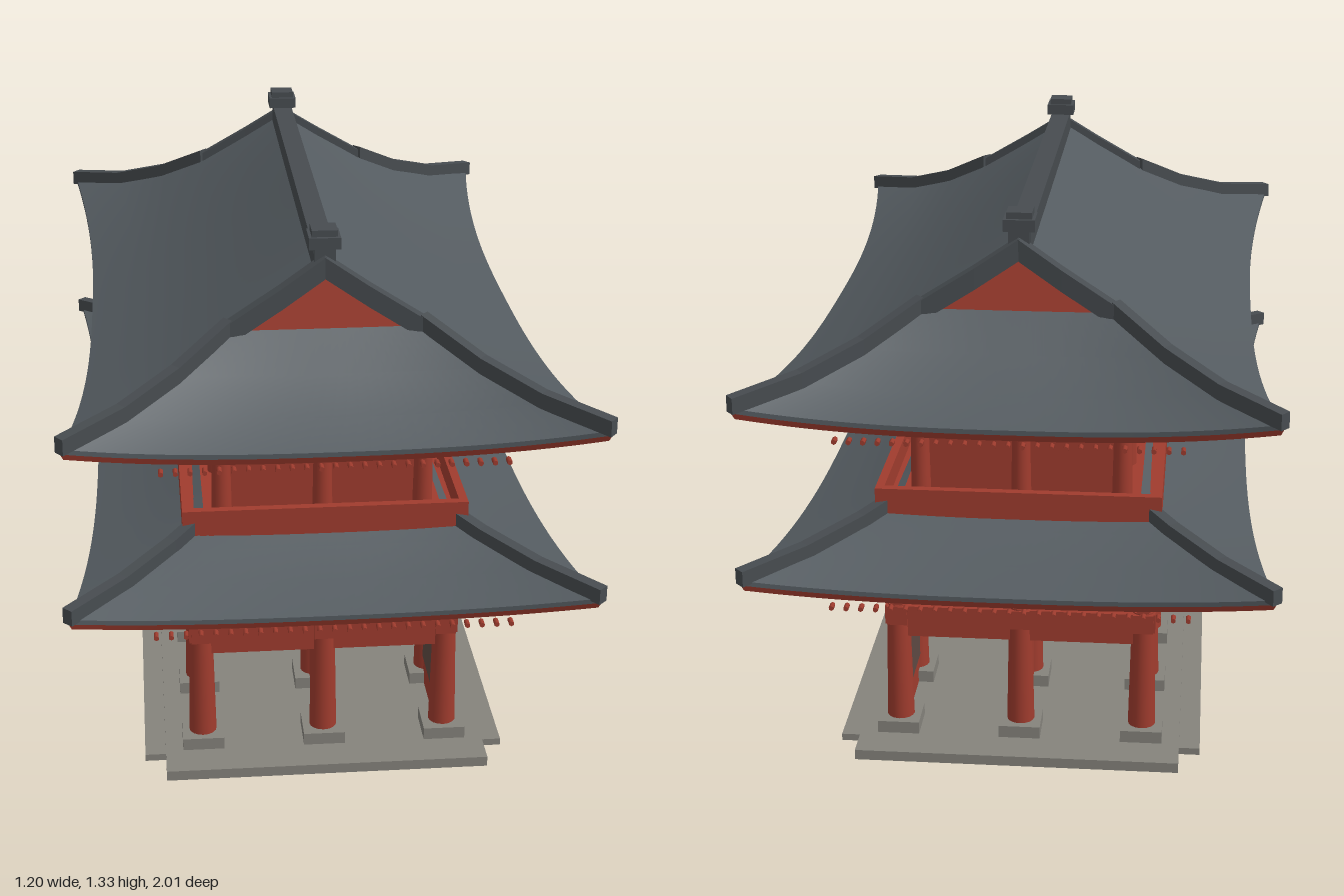
import * as THREE from 'three';
import { mergeGeometries } from 'three/addons/utils/BufferGeometryUtils.js';

const mat = (name, color, side = THREE.FrontSide) => {
  const m = new THREE.MeshStandardMaterial({ color, side });
  m.name = name;
  return m;
};

export function createModel() {
  const model = new THREE.Group();
  model.name = 'gatehouse';
  const D = THREE.DoubleSide;
  const tile = mat('roof tile grey', 0x545b60, D);
  const ridgeGrey = mat('ridge grey', 0x474c50, D);
  const red = mat('painted red', 0xa03c2e, D);
  const brown = mat('plaster brown', 0x5e4a43);
  const stone = mat('stone', 0x85837c);
  const dark = mat('eave shadow brown', 0x3a2c28, D);

  const add = (name, geo, material, parent = model) => {
    const mesh = new THREE.Mesh(geo, material);
    mesh.name = name;
    parent.add(mesh);
    return mesh;
  };
  // Box given by its x, y and z ranges
  const box = (x0, x1, y0, y1, z0, z1) =>
    new THREE.BoxGeometry(x1 - x0, y1 - y0, z1 - z0).translate((x0 + x1) / 2, (y0 + y1) / 2, (z0 + z1) / 2);
  const post = (x, z, y0, y1, r0, r1) =>
    new THREE.CylinderGeometry(r1, r0, y1 - y0, 16).translate(x, (y0 + y1) / 2, z);

  // Curved roof sheet. Each row: m = [out, y] at mid-span, c = [out, y, half length] at the corner
  function sheet(rows, alongZ) {
    const n = 32, pos = [], idx = [];
    rows.forEach(({ m, c }, r) => {
      for (let i = 0; i <= n; i++) {
        const u = (i / n) * 2 - 1, k = Math.pow(Math.abs(u), 2.6);
        const out = m[0] + (c[0] - m[0]) * k, y = m[1] + (c[1] - m[1]) * k, l = u * c[2];
        pos.push(...(alongZ ? [out, y, l] : [l, y, out]));
        if (r && i) {
          const a = (r - 1) * (n + 1) + i - 1, b = a + n + 1;
          idx.push(...(alongZ ? [a, a + 1, b, a + 1, b + 1, b] : [a, b, a + 1, a + 1, b, b + 1]));
        }
      }
    });
    const g = new THREE.BufferGeometry();
    g.setAttribute('position', new THREE.Float32BufferAttribute(pos, 3));
    g.setIndex(idx);
    g.computeVertexNormals();
    return g;
  }

  // Square-section ridge swept along points, kept upright
  function ridgeBar(pts, w, below, above) {
    const pos = [], idx = [];
    const a = pts[0], e = pts[pts.length - 1];
    const side = new THREE.Vector3(e[2] - a[2], 0, a[0] - e[0]).normalize().multiplyScalar(w / 2);
    pts.forEach(([x, y, z], i) => {
      for (const [s, h] of [[-1, -below], [1, -below], [1, above], [-1, above]])
        pos.push(x + s * side.x, y + h, z + s * side.z);
      if (i) for (let k = 0; k < 4; k++) {
        const p = (i - 1) * 4 + k, q = (i - 1) * 4 + (k + 1) % 4;
        idx.push(p, q, p + 4, q, q + 4, p + 4);
      }
    });
    const l = pos.length / 3 - 4;
    idx.push(0, 2, 1, 0, 3, 2, l, l + 1, l + 2, l, l + 2, l + 3);
    const g = new THREE.BufferGeometry();
    g.setAttribute('position', new THREE.Float32BufferAttribute(pos, 3));
    g.setIndex(idx);
    const flat = g.toNonIndexed();
    flat.computeVertexNormals();
    return flat;
  }

  // Roof from hip points [x, y, z] and mid-span profiles; ends start at row endFrom
  function roof(name, hip, sideMid, endMid, endFrom, inner) {
    const group = new THREE.Group();
    group.name = name;
    model.add(group);
    const sideRows = hip.map((h, i) => ({ m: sideMid[i], c: [h[0], h[1], h[2]] }));
    const endRows = hip.slice(endFrom).map((h, i) => ({ m: endMid[i], c: [h[2], h[1], h[0]] }));
    for (const turn of [0, Math.PI]) for (const alongZ of [true, false]) {
      const rows = alongZ ? sideRows : endRows;
      const edge = rows[rows.length - 1];
      const drop = (d, inset) => ({
        m: [edge.m[0] - inset, edge.m[1] - d],
        c: [edge.c[0] - inset, edge.c[1] - d, edge.c[2] - inset],
      });
      const [ix, iy, iz] = inner;
      const core = alongZ ? { m: [ix, iy], c: [ix, iy, iz] } : { m: [iz, iy], c: [iz, iy, ix] };
      const part = (label, r, material) => { add(label, sheet(r, alongZ), material, group).rotation.y = turn; };
      part('roofSlope', rows, tile);
      part('tileEdge', [edge, drop(0.011, 0)], tile);
      part('eaveBoard', [drop(0.011, 0), drop(0.026, 0.006)], red);
      part('eaveUnderside', [drop(0.026, 0.006), core], dark);
    }
    for (const sx of [-1, 1]) for (const sz of [-1, 1]) {
      const pts = hip.map(([x, y, z]) => [x * sx, y, z * sz]);
      if (endFrom) add('vergeRidge', ridgeBar(pts.slice(0, endFrom + 1), 0.03, 0.03, 0.02), ridgeGrey, group);
      const [x, y, z] = pts[pts.length - 1];
      pts[pts.length - 1] = [x + 0.002 * sx, y, z + 0.002 * sz];
      add('hipRidge', ridgeBar(pts.slice(endFrom), 0.028, 0.01, 0.027), ridgeGrey, group);
    }
    return group;
  }

  // Three stacked round arms stepping outward, pointing along +x before turning
  function bracket(y0, h) {
    const reach = [0.025, 0.073, 0.12], wide = [0.024, 0.029, 0.035];
    return mergeGeometries(reach.map((r, i) =>
      new THREE.CylinderGeometry(1, 1, r + 0.03, 12).rotateZ(Math.PI / 2)
        .scale(1, h / 6, wide[i]).translate((r - 0.03) / 2, y0 + (i + 0.5) * h / 3, 0)));
  }

  function bracketRows(name, y0, h, bx, xs, zs, bz) {
    const list = [];
    for (const s of [-1, 1]) {
      for (const z of zs) list.push(bracket(y0, h).rotateY(s > 0 ? 0 : Math.PI).translate(s * bx, 0, z));
      for (const x of xs) list.push(bracket(y0, h).rotateY(-s * Math.PI / 2).translate(x, 0, s * bz));
    }
    add(name, mergeGeometries(list), red);
  }

  // Round rafter tips in a line below each eave
  function rafterTips(name, y, lx, lz) {
    const list = [];
    const tip = () => new THREE.CylinderGeometry(0.006, 0.006, 0.022, 6);
    for (const s of [-1, 1]) {
      for (let i = -26; i <= 26; i++) list.push(tip().rotateZ(Math.PI / 2).translate(s * 0.523, y, i * lz / 26));
      for (let i = -12; i <= 12; i++) list.push(tip().rotateX(Math.PI / 2).translate(i * lx / 12, y, s * 0.925));
    }
    add(name, mergeGeometries(list), red);
  }

  const spread = (half, n) => Array.from({ length: n }, (_, i) => -half + (2 * half * i) / (n - 1));

  // Stone platform
  add('lowerStep', box(-0.435, 0.435, 0, 0.017, -0.69, 0.69), stone);
  add('platform', box(-0.385, 0.385, 0.01, 0.035, -0.795, 0.795), stone);

  // Ground storey: columns on plinths, tie beams
  const colZ = spread(0.655, 6);
  for (const x of [-0.293, 0, 0.293]) {
    for (const z of colZ) {
      add('plinth', box(x - 0.05, x + 0.05, 0.035, 0.065, z - 0.05, z + 0.05), stone);
      add('column', post(x, z, 0.065, 0.365, 0.033, 0.027), red);
    }
    add('longBeam', box(x - 0.024, x + 0.024, 0.315, 0.362, -0.685, 0.685), red);
    // Closed end bays
    for (const s of [-1, 1]) {
      const z = s * 0.525;
      add('bayWall', box(x - 0.012, x + 0.012, 0.035, 0.32, z - 0.13, z + 0.13), red);
      if (x) add('bayPanel', box(x - 0.015, x + 0.015, 0.105, 0.275, z - 0.098, z + 0.098), brown);
    }
  }
  for (const z of colZ) {
    add('crossBeam', box(-0.322, 0.322, 0.315, 0.362, z - 0.024, z + 0.024), red);
    add('lowerCrossBeam', box(-0.29, 0.29, 0.28, 0.317, z - 0.015, z + 0.015), red);
  }
  add('lowerFrieze', box(-0.275, 0.275, 0.36, 0.5, -0.637, 0.637), brown);
  bracketRows('lowerBrackets', 0.363, 0.125, 0.293, [-0.293, 0, 0.293], spread(0.655, 11), 0.655);
  rafterTips('lowerRafterTips', 0.477, 0.4, 0.8);

  roof('lowerRoof',
    [[0.28, 0.635, 0.67], [0.36, 0.603, 0.75], [0.47, 0.575, 0.865], [0.59, 0.563, 0.99]],
    [[0.28, 0.635], [0.35, 0.594], [0.44, 0.55], [0.535, 0.516]],
    [[0.67, 0.635], [0.745, 0.594], [0.84, 0.55], [0.935, 0.516]], 0, [0.27, 0.5, 0.635]);

  // Balcony floor and parapet
  add('balconyFloor', box(-0.312, 0.312, 0.59, 0.625, -0.69, 0.69), red);
  for (const s of [-1, 1]) {
    add('sideParapet', box(s * 0.322 - 0.01, s * 0.322 + 0.01, 0.605, 0.678, -0.713, 0.713), red);
    add('endParapet', box(-0.332, 0.332, 0.605, 0.678, s * 0.703 - 0.01, s * 0.703 + 0.01), red);
  }

  // Upper storey: walls, columns, windows, central plaques
  add('upperWall', box(-0.228, 0.228, 0.62, 0.787, -0.612, 0.612), red);
  add('upperFrieze', box(-0.222, 0.222, 0.787, 0.9, -0.605, 0.605), brown);
  for (const s of [-1, 1]) {
    for (const z of spread(0.62, 6)) add('upperColumn', post(s * 0.237, z, 0.62, 0.79, 0.024, 0.021), red);
    add('endColumn', post(0, s * 0.62, 0.62, 0.79, 0.024, 0.021), red);
    for (const z of [-0.46, -0.285, 0.285, 0.46])
      add('window', box(s * 0.229 - 0.003, s * 0.229 + 0.003, 0.685, 0.755, z - 0.075, z + 0.075), brown);
    add('plaque', box(s * 0.25 - 0.008, s * 0.25 + 0.008, 0.69, 0.765, -0.075, 0.075), red);
  }
  bracketRows('upperBrackets', 0.785, 0.102, 0.235, [-0.235, -0.118, 0.118, 0.235], spread(0.62, 11), 0.62);
  rafterTips('upperRafterTips', 0.878, 0.38, 0.8);

  // Upper hip-and-gable roof
  const top = roof('upperRoof',
    [[0, 1.25, 0.655], [0.1, 1.185, 0.672], [0.22, 1.112, 0.69], [0.34, 1.042, 0.787], [0.46, 0.995, 0.885], [0.59, 0.97, 0.99]],
    [[0, 1.25], [0.1, 1.175], [0.21, 1.095], [0.32, 1.025], [0.43, 0.963], [0.535, 0.917]],
    [[0.69, 1.112], [0.765, 1.03], [0.85, 0.962], [0.935, 0.917]], 2, [0.22, 0.9, 0.6]);
  add('mainRidge', box(-0.025, 0.025, 1.225, 1.283, -0.63, 0.63), ridgeGrey, top);
  for (const s of [-1, 1]) {
    // Painted gable, leaning slightly outward at its foot
    const gable = new THREE.BufferGeometry();
    gable.setAttribute('position', new THREE.Float32BufferAttribute(
      [0, 1.235, s * 0.664, -s * 0.225, 1.108, s * 0.692, s * 0.225, 1.108, s * 0.692], 3));
    gable.computeVertexNormals();
    add('gable', gable, red, top);
    // Stepped ridge-end ornament
    add('ridgeEndBlock', box(-0.024, 0.024, 1.235, 1.285, s * 0.625 - 0.03, s * 0.625 + 0.03), ridgeGrey, top);
    add('ridgeEndCollar', box(-0.036, 0.036, 1.283, 1.31, s * 0.62 - 0.037, s * 0.62 + 0.037), ridgeGrey, top);
    add('ridgeEndCap', box(-0.029, 0.029, 1.31, 1.325, s * 0.62 - 0.028, s * 0.62 + 0.028), ridgeGrey, top);
  }
  return model;
}
